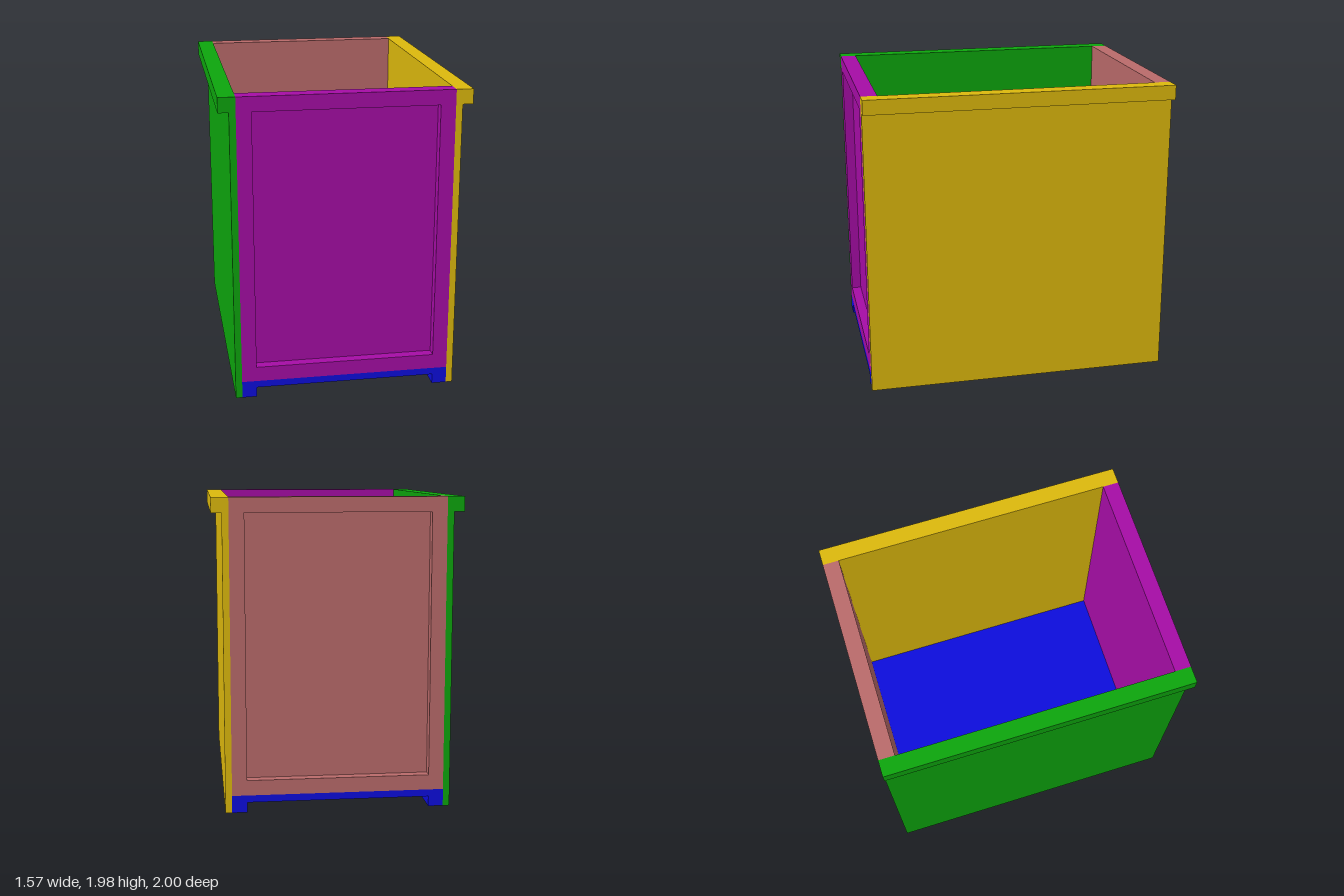
import * as THREE from 'three';

const HALF_W = 0.675, WALL_X = 0.717, LIP_X = 0.783; // inner face, outer face, lip edge
const TOP = 1.975, LIP_Y = 1.88, FLOOR_Y = 0.11;

function polygon(points) {
  return new THREE.Shape(points.map(([x, y]) => new THREE.Vector2(x, y)));
}

// Extrudes a front-facing shape from z0 to z1
function slab(name, shape, z0, z1, color) {
  const geometry = new THREE.ExtrudeGeometry(shape, { depth: z1 - z0, bevelEnabled: false });
  geometry.translate(0, 0, z0);
  const mesh = new THREE.Mesh(geometry, new THREE.MeshStandardMaterial({ color }));
  mesh.name = name;
  return mesh;
}

// Side wall with an overhanging lip along its top edge
function sideWall(name, side, color) {
  const points = [
    [HALF_W, 0], [WALL_X, 0], [WALL_X, LIP_Y],
    [LIP_X, LIP_Y], [LIP_X, TOP], [HALF_W, TOP],
  ].map(([x, y]) => [x * side, y]);
  return slab(name, polygon(points), -1, 1, color);
}

// End panel: a raised frame around a recessed board, outer face towards +z
function endPanel(name, color) {
  const group = new THREE.Group();
  group.name = name;
  const outline = () => polygon([[-HALF_W, FLOOR_Y], [HALF_W, FLOOR_Y], [HALF_W, TOP], [-HALF_W, TOP]]);
  const frame = outline();
  frame.holes.push(new THREE.Path([[-0.58, 0.207], [-0.58, 1.88], [0.58, 1.88], [0.58, 0.207]]
    .map(([x, y]) => new THREE.Vector2(x, y))));
  group.add(slab(name + 'Board', outline(), 0.895, 0.935, color));
  group.add(slab(name + 'Frame', frame, 0.935, 1, color));
  return group;
}

export function createModel() {
  const model = new THREE.Group();
  model.name = 'openBox';

  model.add(sideWall('leftWall', 1, 0xdcb80d));
  model.add(sideWall('rightWall', -1, 0x0da50d));

  const front = endPanel('frontPanel', 0xa50da5);
  const back = endPanel('backPanel', 0xb96a6a);
  back.rotation.y = Math.PI;
  model.add(front, back);

  // Floor with a runner down each side
  const floor = polygon([
    [-HALF_W, 0], [-0.58, 0], [-0.58, 0.065], [0.58, 0.065],
    [0.58, 0], [HALF_W, 0], [HALF_W, FLOOR_Y], [-HALF_W, FLOOR_Y],
  ]);
  model.add(slab('floorWithRunners', floor, -1, 1, 0x0d0ddc));

  return model;
}
